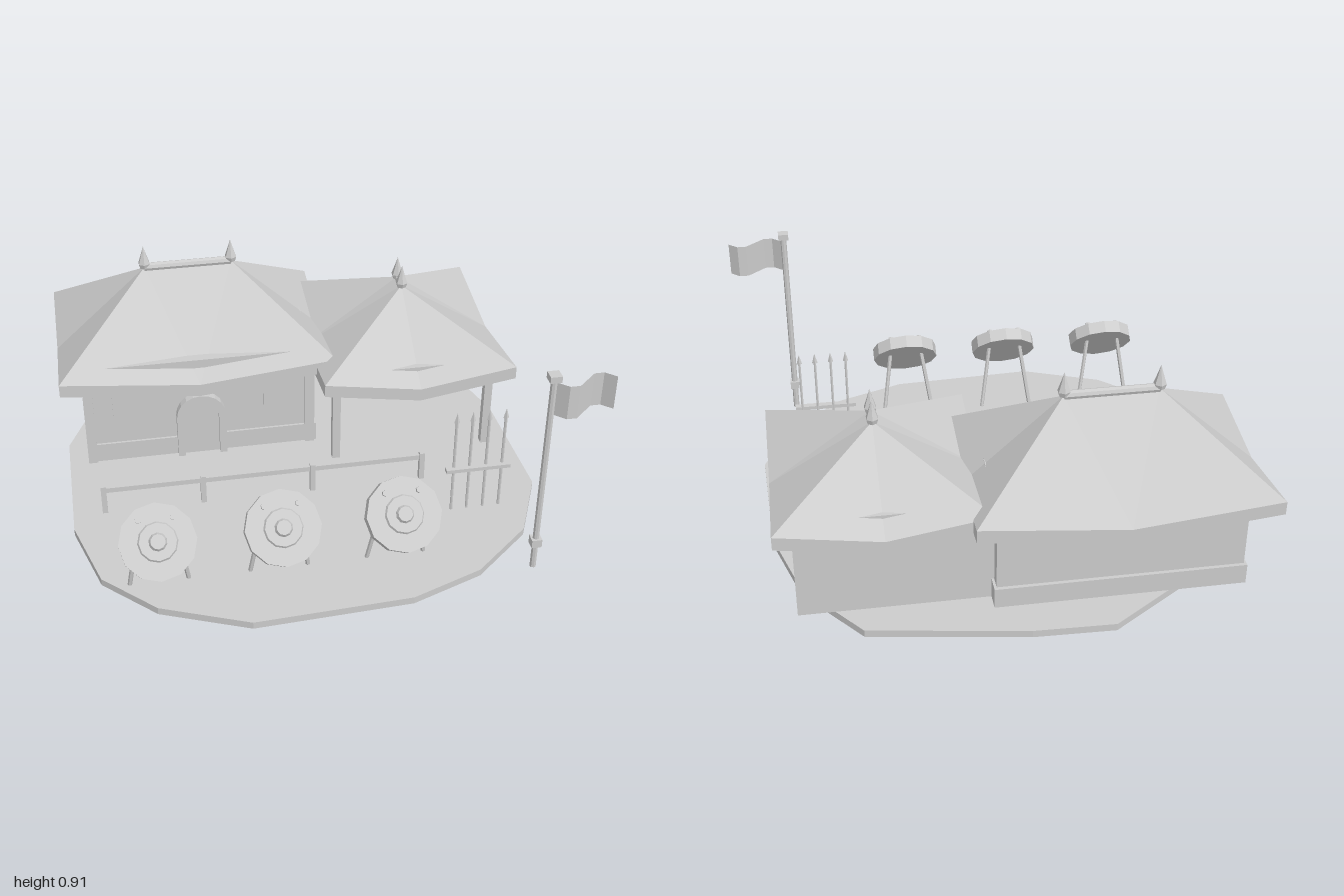
import * as THREE from 'three';

export function createModel() {
  const model = new THREE.Group();
  const stone = new THREE.MeshStandardMaterial({ color: 0xcccccc, flatShading: true, side: THREE.DoubleSide });
  stone.name = 'pale grey';

  const add = (name, geo, x = 0, y = 0, z = 0, parent = model) => {
    const m = new THREE.Mesh(geo, stone);
    m.name = name;
    m.position.set(x, y, z);
    parent.add(m);
    return m;
  };
  // box given by its limits on each axis
  const box = (name, x0, x1, y0, y1, z0, z1) =>
    add(name, new THREE.BoxGeometry(x1 - x0, y1 - y0, z1 - z0), (x0 + x1) / 2, (y0 + y1) / 2, (z0 + z1) / 2);
  const rod = (name, a, b, r, sides = 6) => {
    const p = new THREE.Vector3(...a), q = new THREE.Vector3(...b);
    const m = add(name, new THREE.CylinderGeometry(r, r, p.distanceTo(q), sides));
    m.position.copy(p).add(q).multiplyScalar(0.5);
    m.quaternion.setFromUnitVectors(new THREE.Vector3(0, 1, 0), q.sub(p).normalize());
    return m;
  };

  // ground slab
  const outline = [[-0.36, -0.97], [-0.04, -0.96], [0.58, -0.86], [0.8, -0.58], [0.9, -0.24], [0.92, 0.32],
    [0.79, 0.61], [0.55, 0.82], [0.26, 0.93], [-0.36, 0.96], [-0.7, 0.82], [-0.9, 0.62], [-0.99, 0.3],
    [-0.99, -0.28], [-0.83, -0.65]];
  const slab = new THREE.ExtrudeGeometry(
    new THREE.Shape(outline.map(([x, z]) => new THREE.Vector2(x, -z))), { depth: 0.03, bevelEnabled: false });
  add('groundSlab', slab.rotateX(-Math.PI / 2));

  // hipped roof with eaves that sag at the middle of each side
  const roof = (name, x0, x1, z0, z1, yCorner, yMid, ends, apex) => {
    const xm = (x0 + x1) / 2, zm = (z0 + z1) / 2, t = 0.055, pos = [];
    const eave = [[x0, yCorner, z1], [xm, yMid, z1], [x1, yCorner, z1], [x1, yMid, zm],
      [x1, yCorner, z0], [xm, yMid, z0], [x0, yCorner, z0], [x0, yMid, zm]];
    const low = ([x, y, z]) => [x, y - t, z];
    const tri = (a, b, c) => pos.push(...a, ...b, ...c);
    const shell = (a, b, c) => { tri(a, b, c); tri(low(a), low(c), low(b)); };
    eave.forEach((p, i) => {
      const q = eave[(i + 1) % 8], top = ends[apex[i]], before = apex[(i + 7) % 8];
      shell(top, p, q);
      if (before !== apex[i]) shell(ends[before], p, top);
      tri(p, low(p), low(q));
      tri(p, low(q), q);
    });
    const g = new THREE.BufferGeometry();
    g.setAttribute('position', new THREE.Float32BufferAttribute(pos, 3));
    g.computeVertexNormals();
    add(name, g);
  };
  const finial = (x, y, z) => add('roofFinial', new THREE.LatheGeometry(
    [[0, 0], [0.02, 0], [0.026, 0.02], [0.014, 0.055], [0, 0.1]].map(p => new THREE.Vector2(...p)), 6), x, y, z);

  // main hall
  box('hallPlinth', -0.91, 0.08, 0.03, 0.115, -0.805, -0.145);
  box('hallWalls', -0.9, 0.07, 0.1, 0.488, -0.79, -0.155);
  for (const x of [-0.89, 0.05]) box('hallCornerPost', x - 0.02, x + 0.02, 0.03, 0.41, -0.17, -0.135);
  roof('hallRoof', -1, 0.16, -0.89, -0.1, 0.46, 0.4,
    [[-0.6, 0.76, -0.5], [-0.23, 0.76, -0.5]], [0, 1, 1, 1, 1, 0, 0, 0]);
  rod('hallRidge', [-0.6, 0.762, -0.5], [-0.23, 0.762, -0.5], 0.018, 8);
  for (const x of [-0.6, -0.23]) finial(x, 0.76, -0.5);

  // arched doorway
  const arch = r => {
    const s = new THREE.Shape();
    s.moveTo(-r, 0.03);
    s.lineTo(r, 0.03);
    s.lineTo(r, 0.225);
    s.absarc(0, 0.225, r, 0, Math.PI, false);
    s.lineTo(-r, 0.03);
    return s;
  };
  const frame = arch(0.105);
  frame.holes.push(arch(0.075));
  add('doorFrame', new THREE.ExtrudeGeometry(frame, { depth: 0.035, bevelEnabled: false, curveSegments: 5 }), -0.42, 0, -0.155);
  add('door', new THREE.ExtrudeGeometry(arch(0.075), { depth: 0.014, bevelEnabled: false, curveSegments: 5 }), -0.42, 0, -0.155);

  // pointed window panels on the hall walls
  const panel = new THREE.Shape([[-0.05, 0.37], [-0.05, 0.235], [0, 0.2], [0.05, 0.235], [0.05, 0.37]]
    .map(p => new THREE.Vector2(...p)));
  for (const [x, z, turn] of [[-0.74, -0.155, 0], [-0.1, -0.155, 0], [-0.9, -0.49, -Math.PI / 2], [0.07, -0.49, Math.PI / 2]])
    add('windowPanel', new THREE.ExtrudeGeometry(panel, { depth: 0.009, bevelEnabled: false }), x, 0, z).rotation.y = turn;

  // open pavilion
  box('pavilionBackWall', 0.07, 0.82, 0.03, 0.455, -0.735, -0.705);
  box('pavilionFrontBeam', 0.12, 0.82, 0.4, 0.455, -0.025, 0.01);
  for (const x of [0.14, 0.8]) box('pavilionPost', x - 0.017, x + 0.017, 0.03, 0.44, -0.025, 0.008);
  roof('pavilionRoof', 0.075, 0.89, -0.81, 0.08, 0.455, 0.39,
    [[0.485, 0.66, -0.33], [0.485, 0.66, -0.41]], [0, 0, 0, 1, 1, 1, 1, 0]);
  rod('pavilionRidge', [0.485, 0.66, -0.33], [0.485, 0.66, -0.41], 0.015, 8);
  for (const z of [-0.33, -0.41]) finial(0.485, 0.655, z);
  for (const x of [0.48, 0.64]) {
    box('stand', x - 0.024, x + 0.024, 0.03, 0.18, -0.5, -0.45);
    rod('standSpike', [x, 0.18, -0.475], [x, 0.27, -0.475], 0.004);
  }

  // fence
  for (const x of [-0.86, -0.455, 0, 0.465]) box('fencePost', x - 0.011, x + 0.011, 0.03, 0.16, 0.195, 0.217);
  box('fenceRail', -0.86, 0.465, 0.128, 0.15, 0.2, 0.212);

  // spear rack
  box('spearRail', 0.5, 0.765, 0.227, 0.243, 0.43, 0.457);
  for (const x of [0.535, 0.6, 0.668, 0.735]) {
    rod('spearShaft', [x, 0.03, 0.435], [x, 0.47, 0.435], 0.006);
    add('spearHead', new THREE.ConeGeometry(0.012, 0.045, 4), x, 0.482, 0.435);
  }

  // tilted round shields on legs
  for (const x of [-0.68, -0.215, 0.245]) {
    const shield = new THREE.Group();
    shield.name = 'shield';
    shield.position.set(x, 0.297, 0.76);
    shield.rotation.x = 0.86;
    model.add(shield);
    add('shieldDisc', new THREE.CylinderGeometry(0.145, 0.145, 0.055, 12), 0, 0, 0, shield);
    add('shieldRing', new THREE.CylinderGeometry(0.07, 0.076, 0.01, 12), 0, 0.032, 0, shield);
    add('shieldBoss', new THREE.CylinderGeometry(0.028, 0.036, 0.016, 10), 0, 0.043, 0, shield);
    for (const s of [-1, 1]) {
      add('shieldStud', new THREE.CylinderGeometry(0.012, 0.012, 0.02, 6), s * 0.065, 0.035, -0.085, shield);
      rod('shieldLeg', [x + s * 0.07, 0.32, 0.715], [x + s * 0.113, 0.03, 0.668], 0.009);
    }
  }

  // flagpole and waving flag
  rod('flagPole', [0.76, 0.02, 0.82], [0.76, 0.9, 0.82], 0.013, 8);
  box('poleCap', 0.738, 0.782, 0.882, 0.908, 0.798, 0.842);
  box('poleCollar', 0.74, 0.78, 0.125, 0.16, 0.8, 0.84);
  const cloth = new THREE.PlaneGeometry(0.228, 0.14, 6, 1);
  const p = cloth.attributes.position;
  for (let i = 0; i < p.count; i++) p.setZ(i, 0.04 * Math.sin((p.getX(i) / 0.228 + 0.5) * Math.PI * 2));
  cloth.computeVertexNormals();
  add('flag', cloth, 0.886, 0.8, 0.82);

  return model;
}
